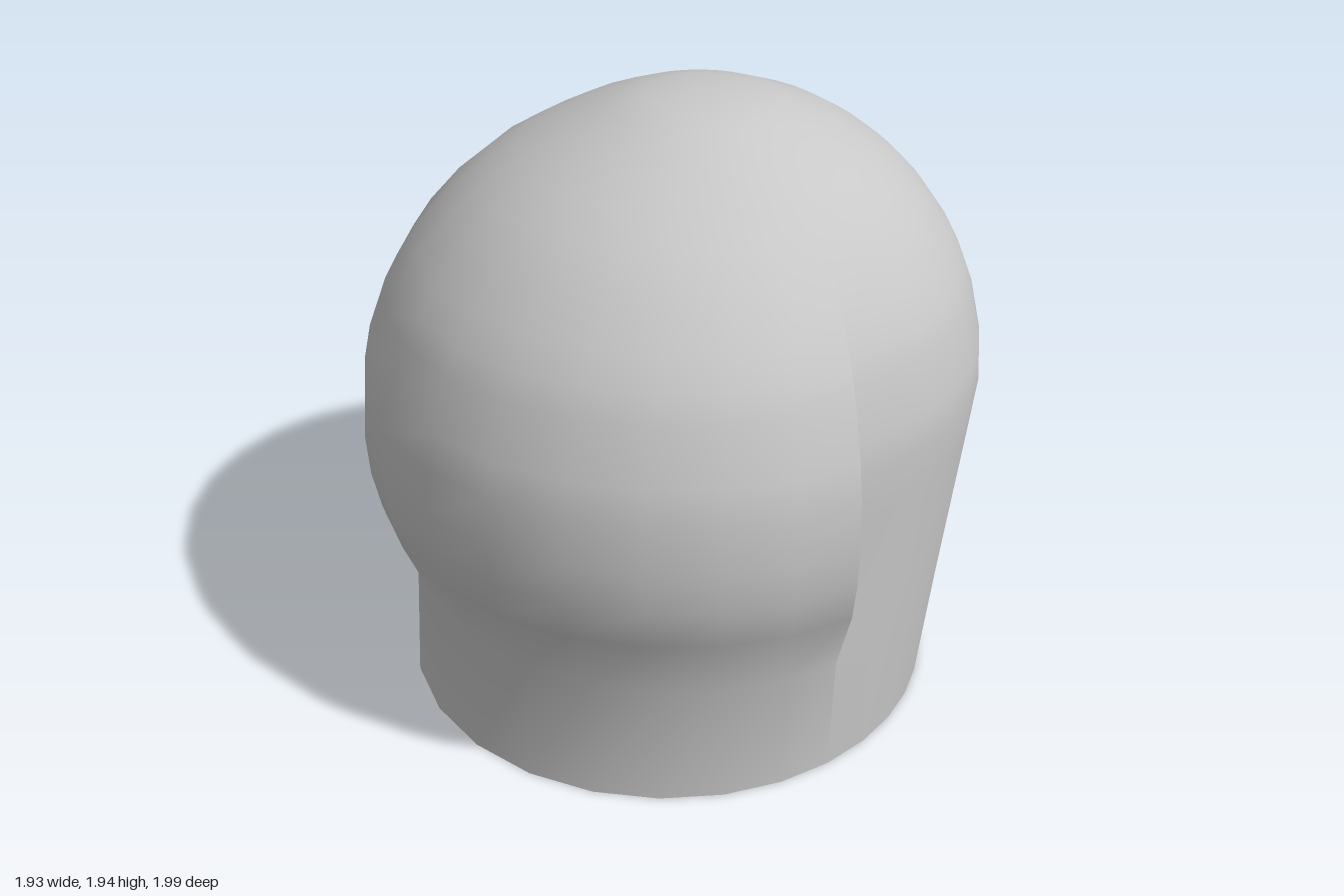
import * as THREE from 'three';
import { mergeGeometries, mergeVertices } from 'three/addons/utils/BufferGeometryUtils.js';

const CUT = 0.29; // x of the flat step where the bulge ends
const COLS = 16;  // columns in each half ring
const LEVELS = [0, 0.41, 0.65, 0.78, 0.91, 1.06, 1.17, 1.33, 1.41, 1.5, 1.61, 1.7, 1.775, 1.84, 1.9, 1.925, 1.94];
const lerp = THREE.MathUtils.lerp;
const circle = (r, d) => Math.sqrt(Math.max(0, r * r - d * d));

// Plan ellipse of the tapered, domed body at height y
function bodyPlan(y) {
  if (y <= 1.06) {
    const t = y / 1.06;
    return { c: lerp(-0.015, 0.08, t), a: lerp(0.845, 0.885, t), b: lerp(0.847, 0.855, t) };
  }
  const a = 0.885 * circle(1, (y - 1.06) / 0.88);
  return { c: 0.08, a, b: a * 0.966 };
}

// Plan ellipse of the round bulge at height y
function bulgePlan(y) {
  const a = circle(0.99, y - 0.91);
  return { c: 0.02, a, b: a * 1.008 };
}

// Distance from (ox, 0) along an angle to an ellipse
function reach({ c, a, b }, ox, angle) {
  if (a < 1e-4) return 0;
  const dx = Math.cos(angle) / a, dz = Math.sin(angle) / b, o = (ox - c) / a;
  const A = dx * dx + dz * dz, B = o * dx, D = B * B - A * (o * o - 1);
  return D < 0 ? 0 : Math.max(0, (-B + Math.sqrt(D)) / A);
}

// Ring centre: on the step plane, sliding to the crown above it
const centre = (y) => (y <= 1.61 ? CUT : lerp(CUT, 0.08, (y - 1.61) / 0.33));

function point(y, angle, withBulge) {
  const ox = centre(y);
  let r = reach(bodyPlan(y), ox, angle);
  if (withBulge) r = Math.max(r, reach(bulgePlan(y), ox, angle));
  return [ox + r * Math.cos(angle), y, r * Math.sin(angle)];
}

// Surface through rows of points
function loft(rows) {
  const n = rows[0].length, index = [];
  for (let i = 0; i < rows.length - 1; i++) {
    for (let j = 0; j < n - 1; j++) {
      const p = i * n + j, q = p + n;
      index.push(p, q, p + 1, p + 1, q, q + 1);
    }
  }
  const g = new THREE.BufferGeometry();
  g.setAttribute('position', new THREE.Float32BufferAttribute(rows.flat(2), 3));
  g.setIndex(index);
  return g;
}

function halfShell(start, withBulge) {
  return loft(LEVELS.map((y) =>
    Array.from({ length: COLS + 1 }, (_, j) => point(y, start + (j / COLS) * Math.PI, withBulge))));
}

export function createModel() {
  const group = new THREE.Group();
  const grey = new THREE.MeshStandardMaterial({ color: 0xc8c8c8, side: THREE.DoubleSide });
  grey.name = 'plain grey';

  const add = (name, geometry) => {
    geometry.computeVertexNormals();
    const mesh = new THREE.Mesh(geometry, grey);
    mesh.name = name;
    group.add(mesh);
  };

  // Open-bottomed shell: bulging half and plain half, welded where they meet
  const halves = [halfShell(Math.PI / 2, true), halfShell(-Math.PI / 2, false)];
  add('shell', mergeVertices(mergeGeometries(halves), 1e-4));

  // Crescent step faces at the front and back of the bulge
  const stepLevels = LEVELS.filter((y) => y >= 0.41 && y <= 1.61);
  for (const side of [1, -1]) {
    const rows = stepLevels.map((y) => {
      const edge = [false, true].map((bulge) => point(y, side * Math.PI / 2, bulge));
      return side > 0 ? edge : edge.reverse();
    });
    add(side > 0 ? 'frontStep' : 'backStep', loft(rows));
  }
  return group;
}
